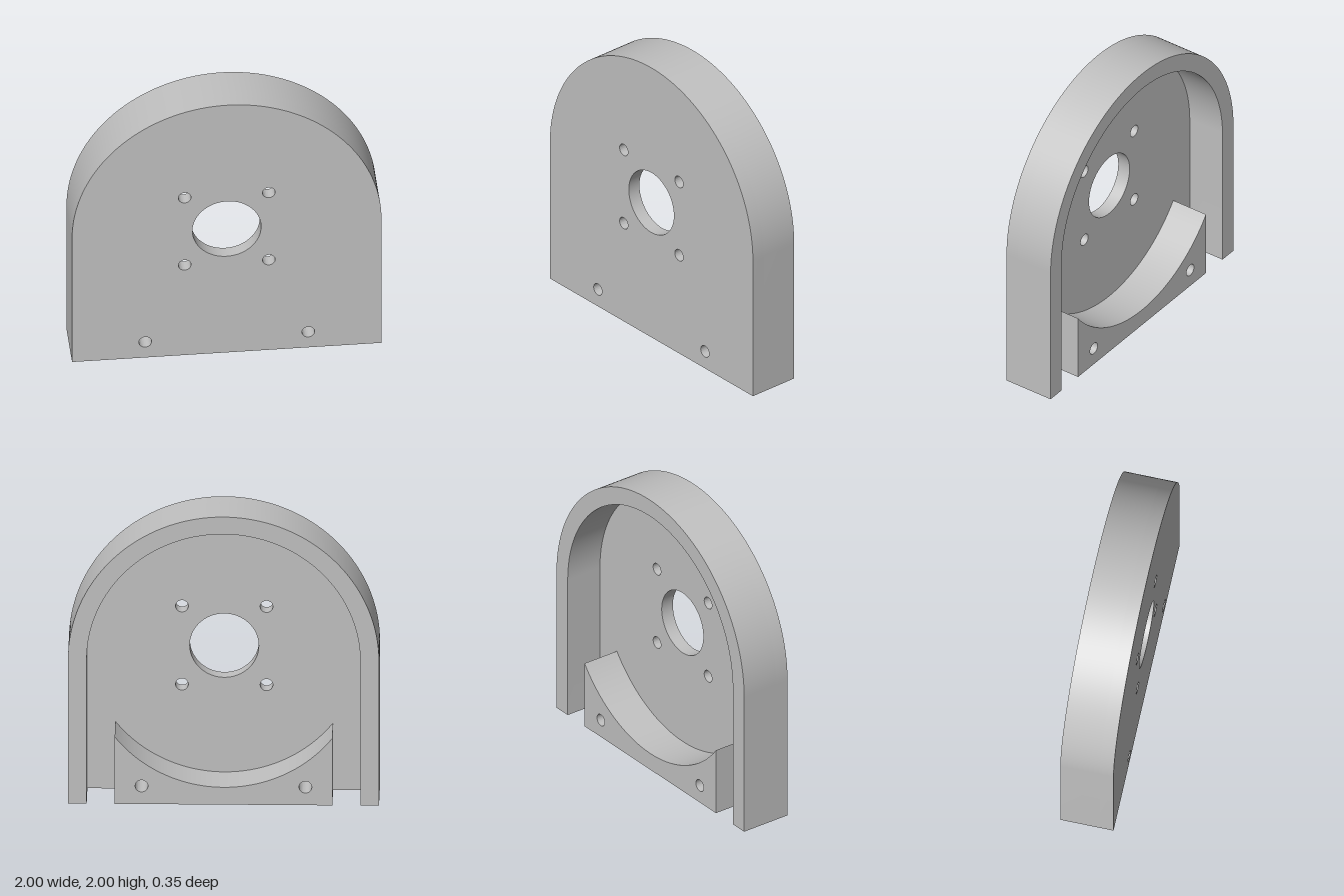
import * as THREE from 'three';
import { toCreasedNormals } from 'three/addons/utils/BufferGeometryUtils.js';

const BACK = -0.175, FRONT = 0.175, FLOOR = 0.085; // z of rear rim, front face, recess floor
const CY = 1, OUTER = 1, INNER = 0.88, BLOCK = 0.7;

export function createModel() {
  const model = new THREE.Group();
  model.name = 'motorMountCover';
  const grey = new THREE.MeshStandardMaterial({ color: 0xc0c0c0 });
  grey.name = 'grey';

  const addPart = (name, shape, z0, z1) => {
    const geometry = new THREE.ExtrudeGeometry(shape, {
      depth: z1 - z0, bevelEnabled: false, curveSegments: 64,
    });
    geometry.translate(0, 0, z0);
    const mesh = new THREE.Mesh(toCreasedNormals(geometry, 0.5), grey);
    mesh.name = name;
    model.add(mesh);
  };
  const addHole = (shape, x, y, r) =>
    shape.holes.push(new THREE.Path().absarc(x, y, r, 0, Math.PI * 2, true));
  const addFootHoles = (shape) => [-1, 1].forEach((s) => addHole(shape, s * 0.527, 0.125, 0.041));

  // Arched front plate with shaft hole, four screw holes and two foot holes
  const plate = new THREE.Shape();
  plate.moveTo(-OUTER, 0).lineTo(OUTER, 0).lineTo(OUTER, CY);
  plate.absarc(0, CY, OUTER, 0, Math.PI, false);
  plate.closePath();
  addHole(plate, 0, CY, 0.222);
  for (const sx of [-1, 1]) for (const sy of [-1, 1]) addHole(plate, sx * 0.272, CY + sy * 0.272, 0.041);
  addFootHoles(plate);
  addPart('frontPlate', plate, FLOOR, FRONT);

  // Arched rim wall, open at the bottom
  const rim = new THREE.Shape();
  rim.moveTo(INNER, 0).lineTo(OUTER, 0).lineTo(OUTER, CY);
  rim.absarc(0, CY, OUTER, 0, Math.PI, false);
  rim.lineTo(-OUTER, 0).lineTo(-INNER, 0).lineTo(-INNER, CY);
  rim.absarc(0, CY, INNER, Math.PI, 0, true);
  rim.closePath();
  addPart('rimWall', rim, BACK, FLOOR);

  // Foot block scooped out along the recess circle
  const a = Math.acos(BLOCK / INNER);
  const block = new THREE.Shape();
  block.moveTo(-BLOCK, 0).lineTo(BLOCK, 0);
  block.absarc(0, CY, INNER, -a, a - Math.PI, true);
  block.closePath();
  addFootHoles(block);
  addPart('footBlock', block, BACK, FLOOR);

  return model;
}
